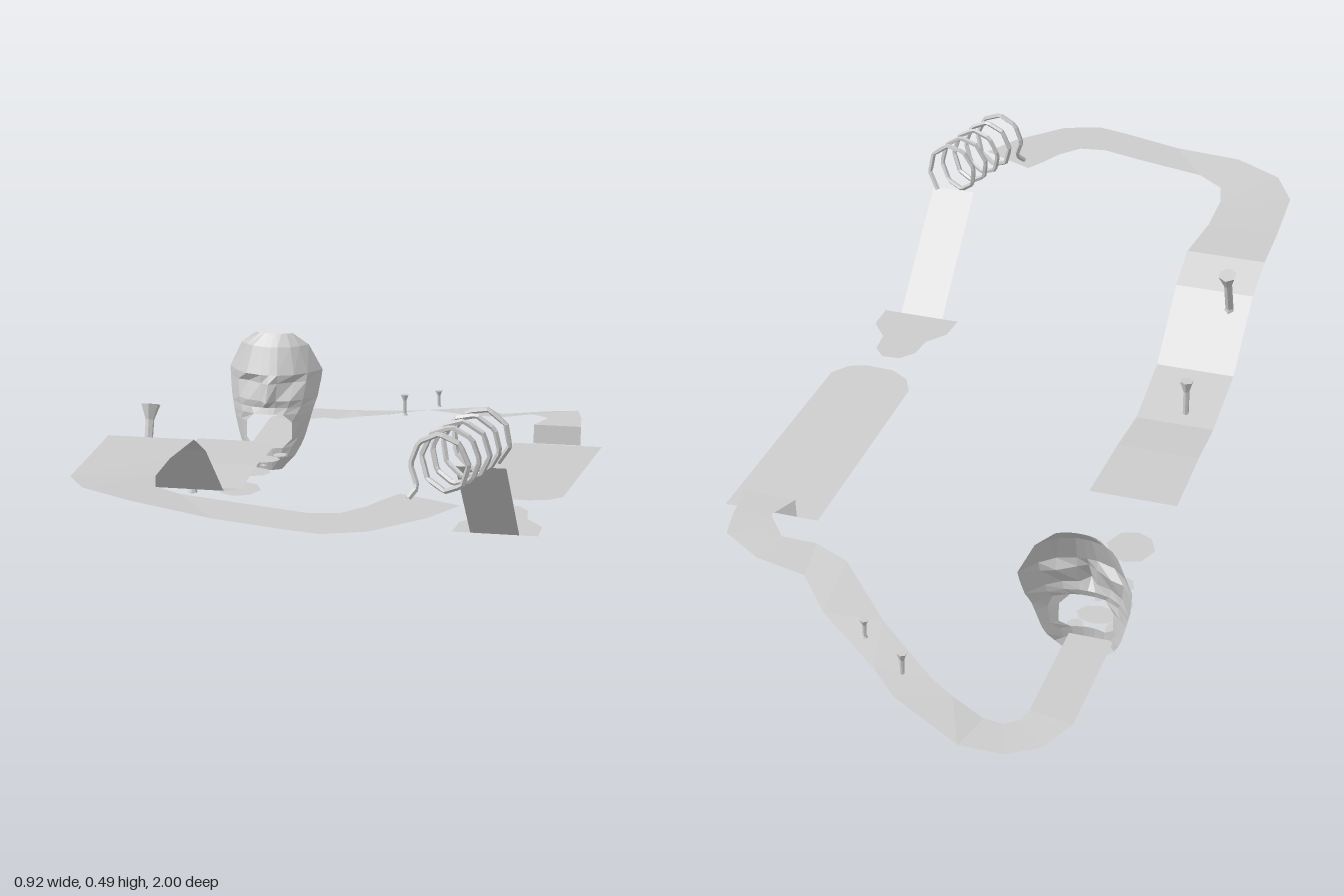
import * as THREE from 'three';

const stone = new THREE.MeshStandardMaterial({ color: 0xcccccc, flatShading: true, side: THREE.DoubleSide });
stone.name = 'pale grey';

function add(parent, name, geometry) {
  const mesh = new THREE.Mesh(geometry, stone);
  mesh.name = name;
  parent.add(mesh);
  return mesh;
}

// Surface through rows of equally many [x, y, z] points; skip(row, col) leaves holes
function grid(rows, skip = () => false) {
  const n = rows[0].length, index = [];
  for (let r = 0; r < rows.length - 1; r++)
    for (let c = 0; c < n - 1; c++) {
      if (skip(r, c)) continue;
      const a = r * n + c, b = a + n;
      index.push(a, b, a + 1, a + 1, b, b + 1);
    }
  const g = new THREE.BufferGeometry();
  g.setAttribute('position', new THREE.Float32BufferAttribute(rows.flat(2), 3));
  g.setIndex(index);
  g.computeVertexNormals();
  return g;
}

// Track ribbon from pairs of edge points: [outerX, outerZ, innerX, innerZ, outerY, innerY]
const ribbon = (pairs) => grid(pairs.map(([ox, oz, ix, iz, oy, iy = oy]) => [[ox, oy, oz], [ix, iy, iz]]));

// Flat sheet from an [x, z] outline, with height given as a function of z
function sheet(outline, height) {
  const g = new THREE.ShapeGeometry(new THREE.Shape(outline.map(([x, z]) => new THREE.Vector2(x, -z))));
  g.rotateX(-Math.PI / 2);
  const p = g.attributes.position;
  for (let i = 0; i < p.count; i++) p.setY(i, height(p.getZ(i)));
  g.computeVertexNormals();
  return g;
}

// Tee-shaped peg with a flared head
function peg(parent, name, x, y, z, height, r, tilt = 0) {
  const profile = [[0, 0], [0.75, 0], [0.45, 0.1], [0.45, 0.72], [1, 1], [0, 1]]
    .map(([a, b]) => new THREE.Vector2(a * r, b * height));
  const mesh = add(parent, name, new THREE.LatheGeometry(profile, 6));
  mesh.position.set(x, y, z);
  mesh.rotation.x = tilt;
}

function mask() {
  // y, mouth half width, face half width, front z, edge z, nose bump, eye recess
  const rows = [
    [0.318, 0.02, 0.045, -0.655, -0.668, 0, 0],
    [0.29, 0.045, 0.082, -0.63, -0.678, 0, 0],
    [0.228, 0.058, 0.113, -0.603, -0.688, 0, 0],
    [0.208, 0.055, 0.111, -0.604, -0.682, 0.012, 0.014],
    [0.167, 0.05, 0.105, -0.594, -0.667, 0.024, 0],
    [0.15, 0.045, 0.1, -0.598, -0.657, 0, 0],
    [0.135, 0.035, 0.096, -0.592, -0.65, 0, 0],
    [0.115, 0.055, 0.091, -0.592, -0.645, 0, 0],
    [0.075, 0.055, 0.08, -0.59, -0.637, 0, 0],
    [0.055, 0.035, 0.072, -0.584, -0.63, 0, 0],
    [0.032, 0.03, 0.06, -0.582, -0.615, 0, 0],
    [0, 0.025, 0.03, -0.588, -0.603, 0, 0],
  ];
  const points = rows.map(([y, m, w, front, edge, nose, eye]) => {
    const half = [0, 0.35 * m, m, (m + w) / 2, w];
    const at = (i, side) => {
      const z = front + (edge - front) * (half[i] / w) ** 2.6 + (i === 0 ? nose : i === 2 ? -eye : 0);
      return [-0.346 + side * half[i], y, z];
    };
    return [4, 3, 2, 1].map((i) => at(i, -1)).concat([0, 1, 2, 3, 4].map((i) => at(i, 1)));
  });
  // open mouth
  return grid(points, (r, c) => r >= 6 && r <= 8 && c >= 2 && c <= 5);
}

// Octagonal coils, each square to the slanting axis
function spring() {
  const turns = 4.8, steps = Math.round(turns * 8), path = new THREE.CurvePath(), pts = [];
  for (let i = 0; i <= steps; i++) {
    const t = i / steps, a = -2.3 - t * turns * Math.PI * 2;
    const across = 0.052 * Math.cos(a);
    pts.push(new THREE.Vector3(
      THREE.MathUtils.lerp(0.275, 0.334, t) + across,
      0.423 + 0.058 * Math.sin(a),
      THREE.MathUtils.lerp(0.76, 0.525, t) + 0.3 * across));
  }
  // straight leg down to the track
  pts.unshift(new THREE.Vector3(0.226, 0.362, 0.765));
  for (let i = 1; i < pts.length; i++) path.add(new THREE.LineCurve3(pts[i - 1], pts[i]));
  return new THREE.TubeGeometry(path, steps * 4, 0.0055, 5);
}

export function createModel() {
  const model = new THREE.Group();
  model.name = 'obstacleTrack';

  // Left straight, dip, ramp and the raised bend at the front
  add(model, 'frontTrack', ribbon([
    [-0.435, -0.27, -0.25, -0.27, 0.16],
    [-0.43, -0.08, -0.255, -0.08, 0.16],
    [-0.425, 0.06, -0.256, 0.06, 0.147],
    [-0.427, 0.22, -0.256, 0.22, 0.19],
    [-0.43, 0.36, -0.257, 0.36, 0.315],
    [-0.435, 0.44, -0.26, 0.44, 0.36],
    [-0.43, 0.58, -0.272, 0.58, 0.36],
    [-0.42, 0.75, -0.268, 0.7, 0.365, 0.36],
    [-0.37, 0.84, -0.25, 0.77, 0.372, 0.36],
    [-0.26, 0.905, -0.19, 0.815, 0.372, 0.362],
    [-0.1, 0.945, -0.02, 0.858, 0.36],
    [0.04, 0.985, 0.06, 0.88, 0.36],
    [0.11, 1, 0.12, 0.87, 0.36],
    [0.19, 0.97, 0.16, 0.82, 0.36],
    [0.28, 0.87, 0.18, 0.775, 0.36],
    [0.325, 0.785, 0.205, 0.73, 0.36],
  ]));

  // Short drop from the launch plate's edge and the descending track at the back
  add(model, 'backTrack', ribbon([
    [0.408, -0.496, 0.3, -0.496, 0.125],
    [0.408, -0.5, 0.3, -0.5, 0.168],
    [0.4, -0.58, 0.325, -0.565, 0.168],
    [0.385, -0.65, 0.28, -0.62, 0.166, 0.16],
    [0.305, -0.69, 0.21, -0.61, 0.15, 0.152],
    [0.2, -0.7, 0.135, -0.64, 0.136, 0.145],
    [0.125, -0.79, 0.01, -0.77, 0.125, 0.118],
    [-0.01, -0.88, -0.12, -0.86, 0.088, 0.075],
    [-0.07, -0.93, -0.17, -0.885, 0.07, 0.063],
    [-0.22, -1, -0.24, -0.91, 0.046],
    [-0.31, -1, -0.28, -0.915, 0.046],
    [-0.37, -0.96, -0.305, -0.895, 0.047],
    [-0.405, -0.88, -0.315, -0.865, 0.05],
    [-0.4, -0.6, -0.31, -0.6, 0.045],
  ]));

  // Tilted launch plate with a rounded end
  add(model, 'launchPlate', sheet([
    [0.255, -0.495], [0.457, -0.495], [0.428, 0.02], [0.4, 0.055], [0.36, 0.068],
    [0.3, 0.065], [0.26, 0.04], [0.24, 0],
  ], (z) => 0.124 + (z + 0.495) * 0.062));

  // Landing pad and the ramp up to the spring
  add(model, 'landingPad', sheet([
    [0.238, 0.315], [0.242, 0.25], [0.275, 0.205], [0.28, 0.15], [0.305, 0.118], [0.345, 0.115],
    [0.37, 0.145], [0.375, 0.2], [0.412, 0.25], [0.412, 0.315],
  ], () => 0.16));
  add(model, 'springRamp', ribbon([
    [0.275, 0.315, 0.374, 0.315, 0.16],
    [0.28, 0.555, 0.378, 0.555, 0.367],
  ]));
  add(model, 'coilSpring', spring());

  // Stepping stones leading to the mask: x, z, half width, half depth
  [
    [-0.343, -0.275, 0.052, 0.066], [-0.345, -0.415, 0.052, 0.04], [-0.345, -0.525, 0.044, 0.036],
    [-0.388, -0.478, 0.02, 0.023], [-0.332, -0.474, 0.009, 0.008],
    [-0.388, -0.56, 0.018, 0.024], [-0.312, -0.567, 0.018, 0.02],
  ].forEach(([x, z, rx, rz], k) => {
    const outline = [];
    for (let i = 0; i < 8; i++) {
      const a = -i * Math.PI / 4, s = 1 - 0.14 * Math.abs(Math.sin(i * 2.3 + k * 1.7));
      outline.push([x + rx * s * Math.cos(a), z + rz * s * Math.sin(a)]);
    }
    add(model, 'steppingStone' + (k + 1), sheet(outline, () => 0.045));
  });

  add(model, 'faceMask', mask());

  // Pegs standing on the track
  peg(model, 'tallPeg', -0.385, 0.284, 0.337, 0.112, 0.02, -0.33);
  peg(model, 'shortPeg', -0.355, 0.145, 0.095, 0.09, 0.015);
  peg(model, 'backPeg1', -0.065, 0.075, -0.87, 0.052, 0.01);
  peg(model, 'backPeg2', 0.027, 0.113, -0.825, 0.04, 0.009);

  return model;
}
